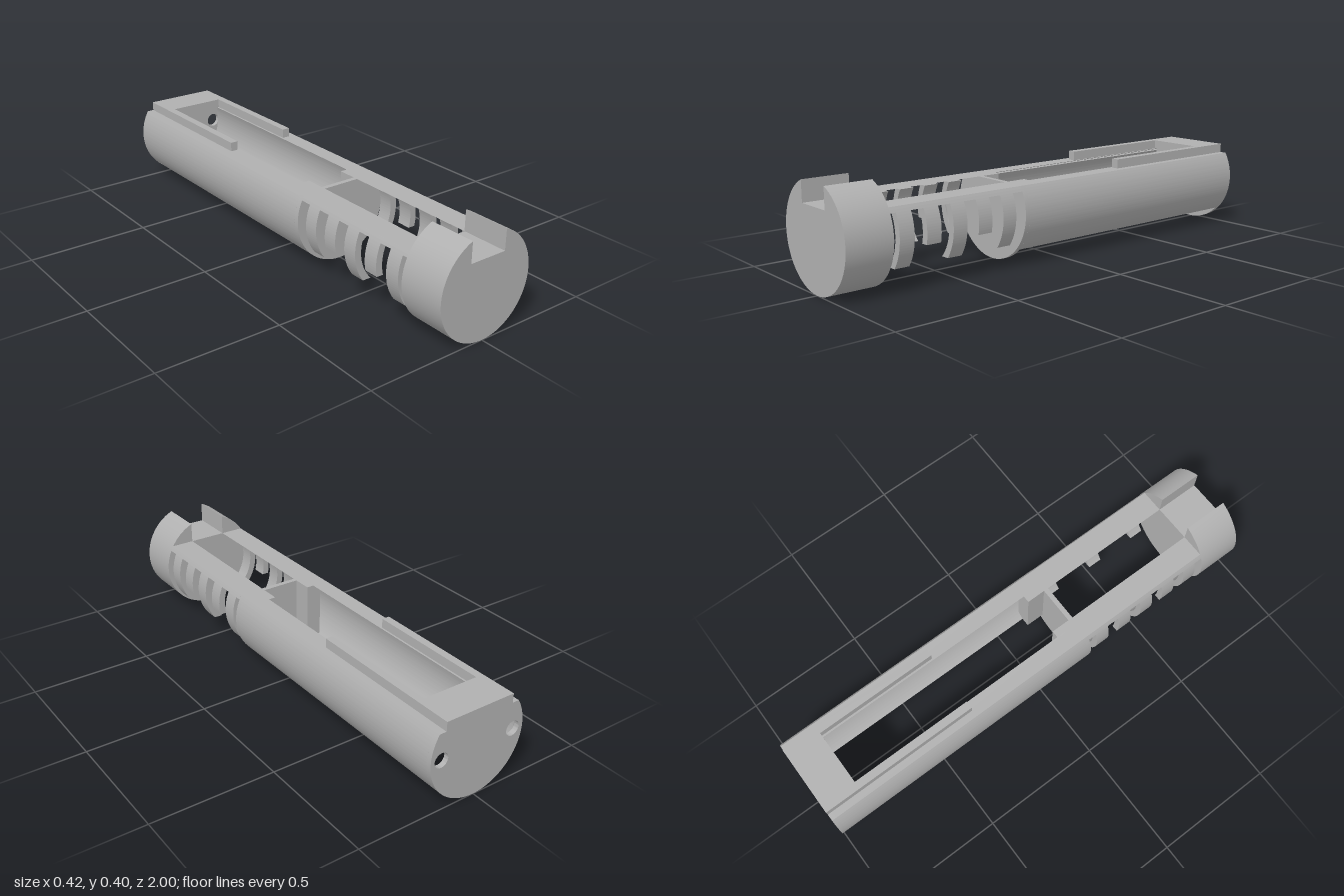
import * as THREE from 'three';
import { toCreasedNormals } from 'three/addons/utils/BufferGeometryUtils.js';

const R = 0.21, CY = 0.21;       // outer radius and axis height
const DECK = 0.32, UNDER = 0.30; // deck top and underside
const CUT = 0.06;                // lower edge of the side walls

// angle at which a circle of radius r reaches height y on the +x side
const angleAt = (y, r) => Math.asin((y - CY) / r);

// disc with its top cut flat at the deck
function cutDisc() {
  const a = angleAt(DECK, R);
  const s = new THREE.Shape();
  s.absarc(0, CY, R, Math.PI - a, 2 * Math.PI + a, false);
  s.closePath();
  return s;
}

// closed arc band between two heights
function band(outer, inner, y0, y1) {
  const s = new THREE.Shape();
  s.absarc(0, CY, outer, angleAt(y0, outer), angleAt(y1, outer), false);
  s.absarc(0, CY, inner, angleAt(y1, inner), angleAt(y0, inner), true);
  s.closePath();
  return s;
}

// slice of deck from inner edge x to the outer circle
function deckStrip(x) {
  const s = new THREE.Shape();
  s.moveTo(x, UNDER);
  s.absarc(0, CY, R, angleAt(UNDER, R), angleAt(DECK, R), false);
  s.lineTo(x, DECK);
  s.closePath();
  return s;
}

export function createModel() {
  const group = new THREE.Group();
  const grey = new THREE.MeshStandardMaterial({ color: 0xb0b0b0 });
  grey.name = 'plain grey';

  const add = (name, geo) => {
    const m = new THREE.Mesh(geo, grey);
    m.name = name;
    group.add(m);
  };
  const extrude = (name, shape, z0, z1) => {
    const g = new THREE.ExtrudeGeometry(shape, { depth: z1 - z0, bevelEnabled: false, curveSegments: 32 });
    g.translate(0, 0, z0);
    add(name, toCreasedNormals(g, 0.4));
  };
  const box = (name, x0, x1, y0, y1, z0, z1) => {
    const g = new THREE.BoxGeometry(x1 - x0, y1 - y0, z1 - z0);
    g.translate((x0 + x1) / 2, (y0 + y1) / 2, (z0 + z1) / 2);
    add(name, g);
  };
  // mirrored outline for the -x side
  const mirror = (shape) => new THREE.Shape(shape.getPoints(32).map((p) => new THREE.Vector2(-p.x, p.y)));

  // front cap with a slot in its top
  const cap = new THREE.Shape();
  const slot = Math.acos(0.08 / R);
  cap.absarc(0, CY, R, Math.PI - slot, 2 * Math.PI + slot, false);
  cap.lineTo(0.08, DECK);
  cap.lineTo(-0.08, DECK);
  cap.closePath();
  extrude('frontCap', cap, 0.81, 1);

  // end walls of the rear compartment
  extrude('middleWall', cutDisc(), 0.2, 0.22);
  const back = cutDisc();
  for (const s of [-1, 1]) {
    const hole = new THREE.Path();
    hole.absarc(s * 0.163, CY, 0.03, 0, 2 * Math.PI, true);
    back.holes.push(hole);
  }
  extrude('backWall', back, -1, -0.98);

  // raised plate and deck behind the opening
  box('backDeck', -0.11, 0.11, UNDER, DECK, -0.98, -0.85);
  box('raisedPlate', -0.15, 0.15, DECK, 0.358, -1, -0.85);

  // parts repeated on both sides
  for (const s of [1, -1]) {
    const side = s > 0 ? 'left' : 'right';
    const sided = (shape) => (s > 0 ? shape : mirror(shape));
    const sideBox = (name, x0, x1, ...rest) =>
      box(name, Math.min(s * x0, s * x1), Math.max(s * x0, s * x1), ...rest);

    extrude(side + 'SideWall', sided(band(R, 0.19, CUT, UNDER)), -0.98, 0.2);
    extrude(side + 'RearDeck', sided(deckStrip(0.11)), -0.98, 0.2);
    extrude(side + 'FrontDeck', sided(deckStrip(0.08)), 0.22, 0.81);
    sideBox(side + 'Post', 0.08, 0.145, CUT, DECK, 0.12, 0.2);
    sideBox(side + 'Rail', 0.118, 0.15, DECK, 0.358, -0.85, -0.33);

    // alternating long and short ribs
    for (let i = 0; i < 5; i++) {
      const z = 0.29 + i * 0.115;
      const bottom = i % 2 ? 0.165 : 0.09;
      extrude(side + 'Rib', sided(band(0.2, 0.172, bottom, UNDER)), z - 0.031, z + 0.031);
    }
  }
  return group;
}
